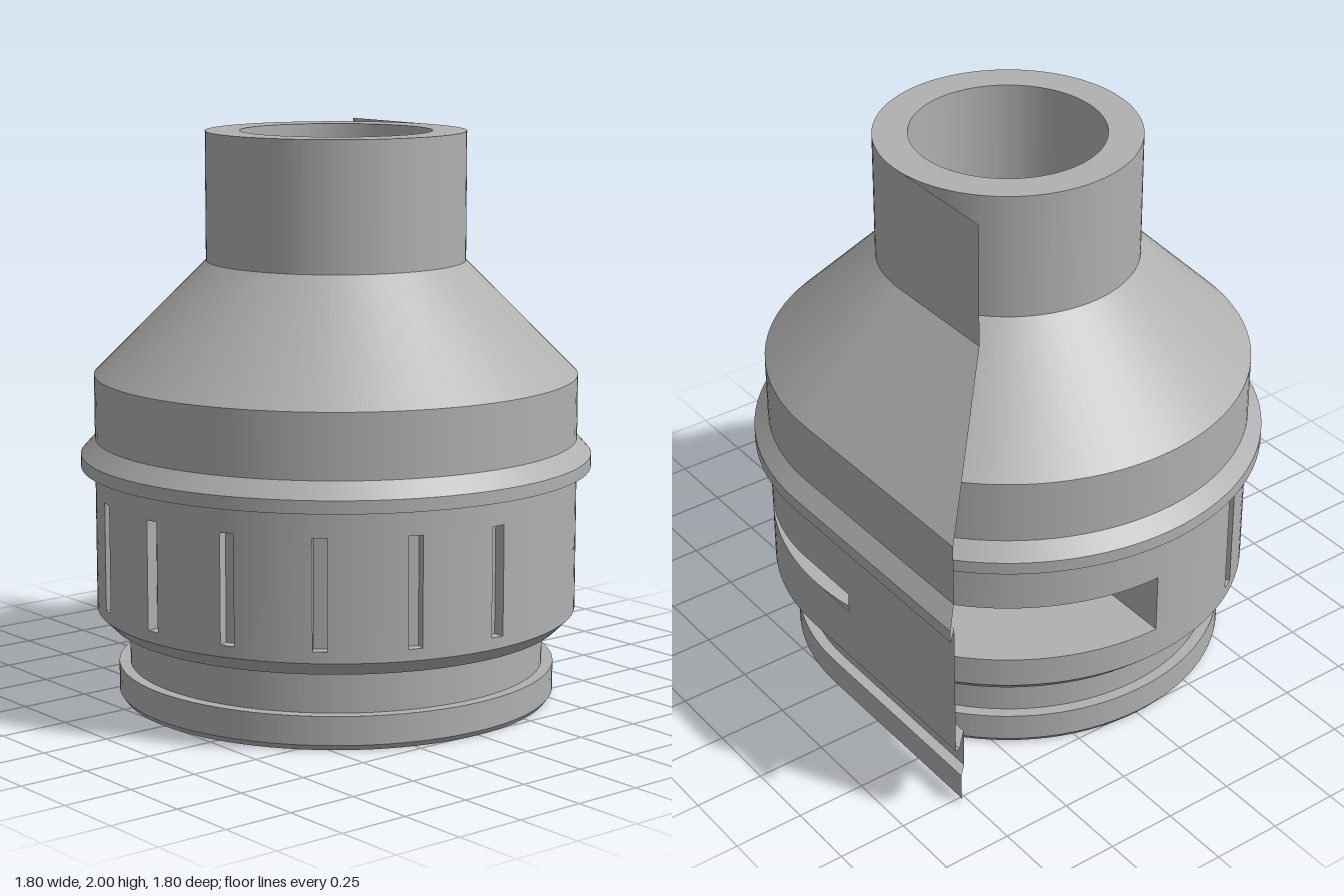
import * as THREE from 'three';
import { mergeGeometries, toCreasedNormals } from 'three/addons/utils/BufferGeometryUtils.js';

const rad = THREE.MathUtils.degToRad;

// Turned surface with a sharp edge at every profile point
function turned(points, segments = 96) {
  const parts = [];
  for (let i = 0; i + 1 < points.length; i++) {
    const pair = [points[i], points[i + 1]].map(([r, y]) => new THREE.Vector2(r, y));
    parts.push(new THREE.LatheGeometry(pair, segments));
  }
  return mergeGeometries(parts);
}

// Collects quads and turns them into one geometry
function quadBuilder() {
  const pos = [];
  return {
    quad(a, b, c, d) { pos.push(...a, ...b, ...c, ...a, ...c, ...d); },
    build() {
      const g = new THREE.BufferGeometry();
      g.setAttribute('position', new THREE.Float32BufferAttribute(pos, 3));
      g.computeVertexNormals();
      return toCreasedNormals(g, rad(25));
    },
  };
}

const BODY_R = 0.85, BAND_LOW = 0.32, BAND_HIGH = 0.83;

// Cylindrical wall with slots, a tapering slit and an outlet window
function bandWall() {
  const cuts = [];
  for (let k = 0; k < 8; k++) {
    const a = 90 - k * 150 / 7;
    cuts.push({ from: a - 1.7, to: a + 1.7, lo: () => 0.36, hi: () => 0.74, inner: 0.81 });
  }
  const half = a => 0.037 * (a - 126) / 54;
  cuts.push({ from: 126, to: 205, lo: a => 0.553 - half(a), hi: a => 0.553 + half(a), inner: 0.7 });
  cuts.push({ from: 205, to: 270, lo: () => 0.43, hi: () => 0.65, inner: 0.5 });

  const edges = new Set(cuts.flatMap(c => [c.from, c.to]));
  for (let a = -90; a <= 270; a += 2.5) edges.add(a);
  const angles = [...edges].sort((a, b) => a - b);
  const P = (a, r, y) => [r * Math.sin(rad(a)), y, r * Math.cos(rad(a))];
  const q = quadBuilder();
  const panel = (a, b, r, a0, b0, a1, b1) => q.quad(P(a, r, a0), P(b, r, b0), P(b, r, b1), P(a, r, a1));

  for (let i = 0; i + 1 < angles.length; i++) {
    const a = angles[i], b = angles[i + 1];
    if (b - a < 1e-6) continue;
    const mid = (a + b) / 2;
    const cut = cuts.find(c => mid > c.from && mid < c.to);
    if (!cut) {
      panel(a, b, BODY_R, BAND_LOW, BAND_LOW, BAND_HIGH, BAND_HIGH);
      continue;
    }
    const { lo, hi, inner } = cut;
    panel(a, b, BODY_R, BAND_LOW, BAND_LOW, lo(a), lo(b));
    panel(a, b, BODY_R, hi(a), hi(b), BAND_HIGH, BAND_HIGH);
    panel(a, b, inner, lo(a), lo(b), hi(a), hi(b));
    // floor and ceiling of the recess
    q.quad(P(a, BODY_R, lo(a)), P(b, BODY_R, lo(b)), P(b, inner, lo(b)), P(a, inner, lo(a)));
    q.quad(P(a, inner, hi(a)), P(b, inner, hi(b)), P(b, BODY_R, hi(b)), P(a, BODY_R, hi(a)));
  }
  // end walls of every recess
  for (const { from, to, lo, hi, inner } of cuts) {
    q.quad(P(from, BODY_R, lo(from)), P(from, inner, lo(from)), P(from, inner, hi(from)), P(from, BODY_R, hi(from)));
    q.quad(P(to, inner, lo(to)), P(to, BODY_R, lo(to)), P(to, BODY_R, hi(to)), P(to, inner, hi(to)));
  }
  return q.build();
}

// Straight tangent skin: the profile carried along -x up to the diagonal
function tangentSkin(profile) {
  const q = quadBuilder();
  const strip = (r0, y0, r1, y1, x0, e0 = -r0, e1 = -r1) =>
    q.quad([x0, y0, -r0], [e0, y0, -r0], [e1, y1, -r1], [x0, y1, -r1]);
  for (let i = 0; i + 1 < profile.length; i++) {
    const [r0, y0] = profile[i], [r1, y1] = profile[i + 1];
    if (y0 === BAND_LOW) {
      // leave the slit open
      const end = -0.23;
      strip(r0, y0, r1, 0.516, 0, end, end);
      strip(r0, 0.59, r1, y1, 0, end, end);
      strip(r0, y0, r1, y1, end);
    } else {
      strip(r0, y0, r1, y1, 0);
    }
  }
  return q.build();
}

export function createModel() {
  const group = new THREE.Group();
  const grey = new THREE.MeshStandardMaterial({ color: 0xb0b0b0, side: THREE.DoubleSide });
  grey.name = 'plain grey';
  const add = (name, geometry) => {
    const mesh = new THREE.Mesh(geometry, grey);
    mesh.name = name;
    group.add(mesh);
    return mesh;
  };

  const base = [[0.76, 0], [0.775, 0.02], [0.775, 0.12], [0.735, 0.12], [0.735, 0.27], [0.8, 0.27], [BODY_R, BAND_LOW]];
  const upper = [[BODY_R, BAND_HIGH], [0.9, BAND_HIGH], [0.9, 0.875], [BODY_R, 0.93], [BODY_R, 1.155], [0.455, 1.55], [0.455, 2]];

  add('baseFlangeAndNeck', turned(base));
  add('slottedBand', bandWall());
  add('collarShoulderAndSpout', turned(upper));
  add('tangentSkin', tangentSkin([...base, ...upper]));

  // spout rim, stepped bore and its floor surround
  add('bore', turned([[0.455, 2], [0.335, 2], [0.335, 1.4], [0.23, 1.4], [0.23, 0.1], [0.7, 0.1]]));

  // bottom plate with the long slot and a pin hole
  const disc = new THREE.Shape().absarc(0, 0, 0.76, 0, Math.PI * 2);
  const slot = new THREE.Path();
  slot.moveTo(-0.045, -0.45).lineTo(-0.045, 0.45).lineTo(0.045, 0.45).lineTo(0.045, -0.45).closePath();
  const pin = new THREE.Path().absarc(0.37, 0, 0.03, 0, Math.PI * 2, true);
  disc.holes.push(slot, pin);
  const plate = new THREE.ExtrudeGeometry(disc, { depth: 0.1, bevelEnabled: false, curveSegments: 48 });
  plate.rotateX(-Math.PI / 2);
  // stay inside the neck above the foot chamfer
  const p = plate.attributes.position;
  for (let i = 0; i < p.count; i++) {
    if (p.getY(i) > 0.05 && Math.hypot(p.getX(i), p.getZ(i)) > 0.7) {
      p.setX(i, p.getX(i) * 0.95);
      p.setZ(i, p.getZ(i) * 0.95);
    }
  }
  plate.computeVertexNormals();
  add('bottomPlate', plate);

  return group;
}
